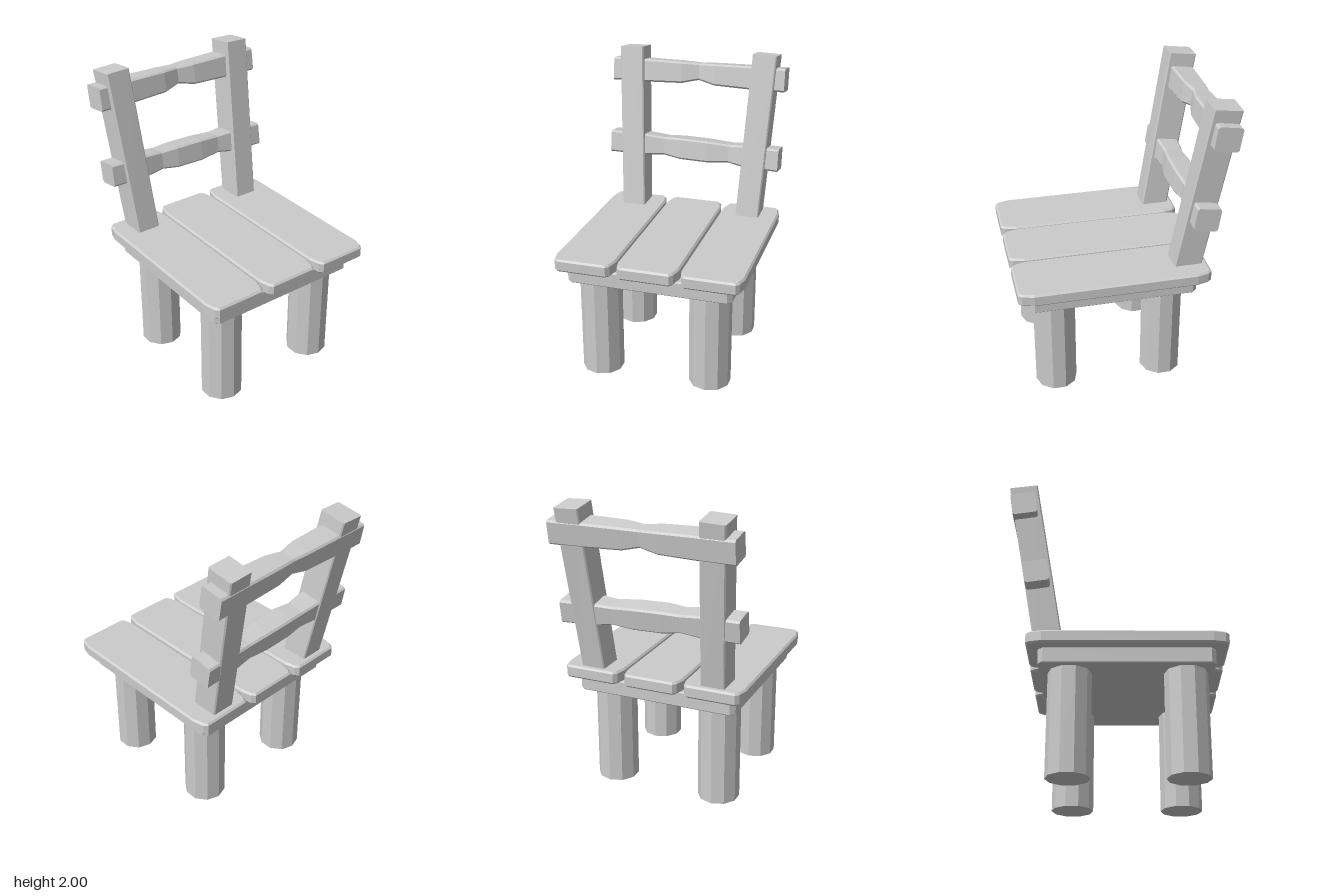
import * as THREE from 'three';

const material = new THREE.MeshStandardMaterial({ color: 0xcccccc, flatShading: true, side: THREE.DoubleSide });

function addMesh(parent, name, geometry) {
  const mesh = new THREE.Mesh(geometry, material);
  mesh.name = name;
  parent.add(mesh);
  return mesh;
}

// Skin a list of equal-length rings of points and close both ends.
function loft(rings) {
  const n = rings[0].length, pos = [], idx = [];
  rings.forEach(r => r.forEach(p => pos.push(...p)));
  for (let k = 0; k < rings.length - 1; k++) {
    for (let i = 0; i < n; i++) {
      const a = k * n + i, b = k * n + (i + 1) % n;
      idx.push(a, b, b + n, a, b + n, a + n);
    }
  }
  const last = (rings.length - 1) * n;
  for (let i = 1; i < n - 1; i++) {
    idx.push(0, i + 1, i, last, last + i, last + i + 1);
  }
  const g = new THREE.BufferGeometry();
  g.setAttribute('position', new THREE.Float32BufferAttribute(pos, 3));
  g.setIndex(idx);
  const flat = g.toNonIndexed();
  flat.computeVertexNormals();
  return flat;
}

// Counter-clockwise rectangle with cut corners, half sizes a and b.
const cutRect = (a, b, c) => [
  [a, -b + c], [a, b - c], [a - c, b], [-a + c, b],
  [-a, b - c], [-a, -b + c], [-a + c, -b], [a - c, -b]];

// Flat board lying between y0 and y1 with shaped corners and a small bevel.
function board(x0, x1, z0, z1, y0, y1, outline, bevel) {
  const cx = (x0 + x1) / 2, cz = (z0 + z1) / 2;
  const shape = new THREE.Shape(outline((x1 - x0) / 2, (z1 - z0) / 2).map(p => new THREE.Vector2(...p)));
  const g = new THREE.ExtrudeGeometry(shape, {
    depth: y1 - y0 - 2 * bevel, bevelEnabled: true, bevelSegments: 1,
    bevelSize: bevel, bevelThickness: bevel, bevelOffset: -bevel });
  g.rotateX(-Math.PI / 2);
  g.translate(cx, y0 + bevel, cz);
  return g;
}

// Plank outline: long, worn corners.
const plankOutline = (a, b) => [
  [a, -b + 0.04], [a, b - 0.04], [a - 0.025, b - 0.018], [a - 0.1, b],
  [-a + 0.1, b], [-a + 0.025, b - 0.018], [-a, b - 0.04],
  [-a, -b + 0.04], [-a + 0.025, -b + 0.018], [-a + 0.1, -b],
  [a - 0.1, -b], [a - 0.025, -b + 0.018]];

// Leaning post: cross-section centre moves from foot to head, head cut askew.
function post(side, zFoot, zHead) {
  const ring = (cx, cz, a, b, y) => cutRect(b, a, 0.008).map(([dz, dx]) => [cx + dx, y(dx, dz), cz + dz]);
  return loft([
    ring(-0.425, zFoot, 0.093, 0.082, () => 0.86),
    ring(-0.617, zHead, 0.093, 0.084, (dx, dz) => 1.985 + dx * 0.13 - side * dz * 0.04)]);
}

// Rail across the back: stations of [z, centre x, centre y, half depth, half height].
function rail(stations) {
  const c = Math.cos(0.15), s = Math.sin(0.15);
  return loft(stations.map(([z, cx, cy, a, b]) =>
    cutRect(a, b, 0.012).map(([u, v]) => [cx + u * c - v * s, cy + u * s + v * c, z])));
}

export function createModel() {
  const chair = new THREE.Group();
  chair.name = 'chair';

  // Seat: three planks on a square base board
  const seat = new THREE.Group();
  seat.name = 'seat';
  chair.add(seat);
  [[-0.63, -0.22], [-0.205, 0.202], [0.215, 0.625]].forEach(([z0, z1], i) =>
    addMesh(seat, 'plank' + (i + 1), board(-0.56, 0.705, z0, z1, 0.797, 0.882, plankOutline, 0.012)));
  addMesh(seat, 'baseBoard',
    board(-0.485, 0.625, -0.55, 0.555, 0.69, 0.795, (a, b) => cutRect(a, b, 0.03), 0.006));

  // Ten-sided legs
  const legs = new THREE.Group();
  legs.name = 'legs';
  chair.add(legs);
  for (const [x, row] of [[-0.29, 'back'], [0.445, 'front']]) {
    for (const [z, foot, side] of [[0.383, 0, 'Outer'], [-0.372, 0.01, 'Inner']]) {
      const g = new THREE.CylinderGeometry(0.14, 0.14, 0.7 - foot, 10);
      g.rotateY(Math.PI / 2);
      addMesh(legs, row + side + 'Leg', g).position.set(x, (0.7 + foot) / 2, z);
    }
  }

  // Backrest: two splayed posts and two worn rails
  const back = new THREE.Group();
  back.name = 'backrest';
  chair.add(back);
  addMesh(back, 'postA', post(1, 0.42, 0.483));
  addMesh(back, 'postB', post(-1, -0.42, -0.472));
  addMesh(back, 'upperRail', rail([
    [-0.615, -0.607, 1.818, 0.082, 0.08], [-0.37, -0.605, 1.82, 0.081, 0.079],
    [-0.12, -0.607, 1.822, 0.075, 0.074], [0, -0.617, 1.832, 0.058, 0.058],
    [0.12, -0.607, 1.822, 0.075, 0.074], [0.37, -0.605, 1.82, 0.081, 0.079],
    [0.62, -0.607, 1.818, 0.082, 0.08]]));
  addMesh(back, 'lowerRail', rail([
    [-0.61, -0.508, 1.272, 0.08, 0.079], [-0.37, -0.507, 1.279, 0.078, 0.077],
    [-0.25, -0.512, 1.286, 0.067, 0.064], [-0.1, -0.507, 1.287, 0.078, 0.075],
    [0.1, -0.507, 1.292, 0.078, 0.075], [0.22, -0.512, 1.298, 0.067, 0.064],
    [0.37, -0.507, 1.3, 0.078, 0.077], [0.62, -0.51, 1.304, 0.08, 0.077]]));

  return chair;
}
